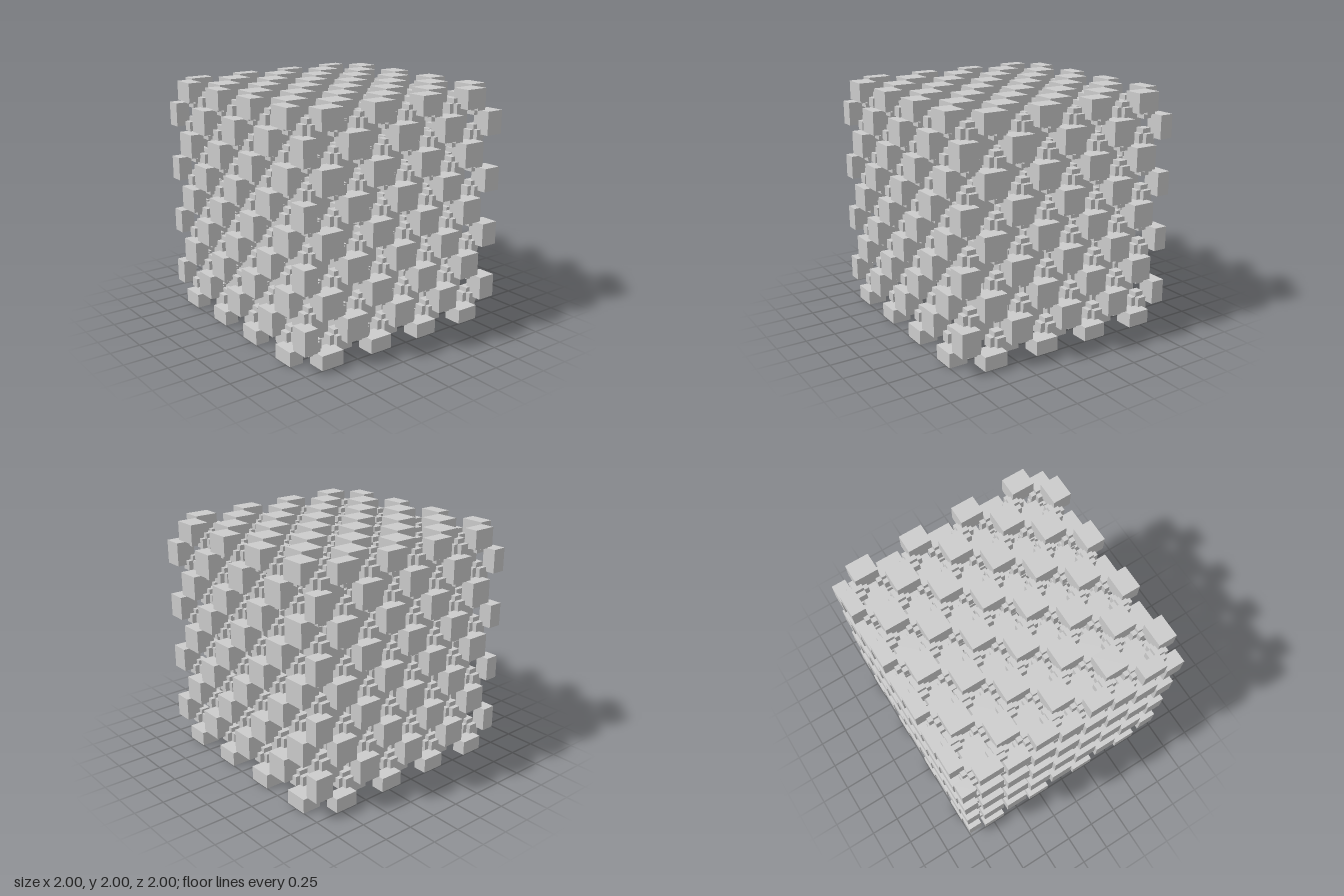
import * as THREE from 'three';
import { mergeGeometries } from 'three/addons/utils/BufferGeometryUtils.js';

const PITCH = 0.24, BLOCK = 0.2, UNIT = 0.04, FIRST = -1.08, CELLS = 9;

// Box from its minimum and maximum corners
function boxBetween(lo, hi) {
  const g = new THREE.BoxGeometry(hi[0] - lo[0], hi[1] - lo[1], hi[2] - lo[2]);
  return g.translate((lo[0] + hi[0]) / 2, (lo[1] + hi[1]) / 2, (lo[2] + hi[2]) / 2);
}

// Calls fn for each cell of an n x n x n lattice
function forLattice(n, fn) {
  for (let i = 0; i < n; i++)
    for (let j = 0; j < n; j++)
      for (let k = 0; k < n; k++) fn([i, j, k]);
}

export function createModel() {
  const model = new THREE.Group();
  model.name = 'cubeLattice';
  const material = new THREE.MeshStandardMaterial({ color: 0xcccccc, flatShading: true });

  // Large blocks fill every other cell and are cut off at the outer cube
  const blocks = [];
  forLattice(CELLS, (cell) => {
    if ((cell[0] + cell[1] + cell[2]) % 2 === 0) return;
    const lo = cell.map((c) => Math.max(-1, FIRST + c * PITCH));
    const hi = cell.map((c) => Math.min(1, FIRST + c * PITCH + BLOCK));
    blocks.push(boxBetween(lo, hi));
  });

  // Small stepped connectors at the cell corners: three crossing bars
  const connectors = [];
  forLattice(CELLS - 1, (cell) => {
    const centre = cell.map((c) => FIRST + (c + 1) * PITCH);
    for (let axis = 0; axis < 3; axis++) {
      const half = [0, 1, 2].map((a) => (a === axis ? 2 * UNIT : UNIT));
      connectors.push(boxBetween(centre.map((c, a) => c - half[a]), centre.map((c, a) => c + half[a])));
    }
  });

  for (const [name, parts] of [['largeBlocks', blocks], ['cornerConnectors', connectors]]) {
    const mesh = new THREE.Mesh(mergeGeometries(parts), material);
    mesh.name = name;
    mesh.position.y = 1;
    model.add(mesh);
  }
  return model;
}
